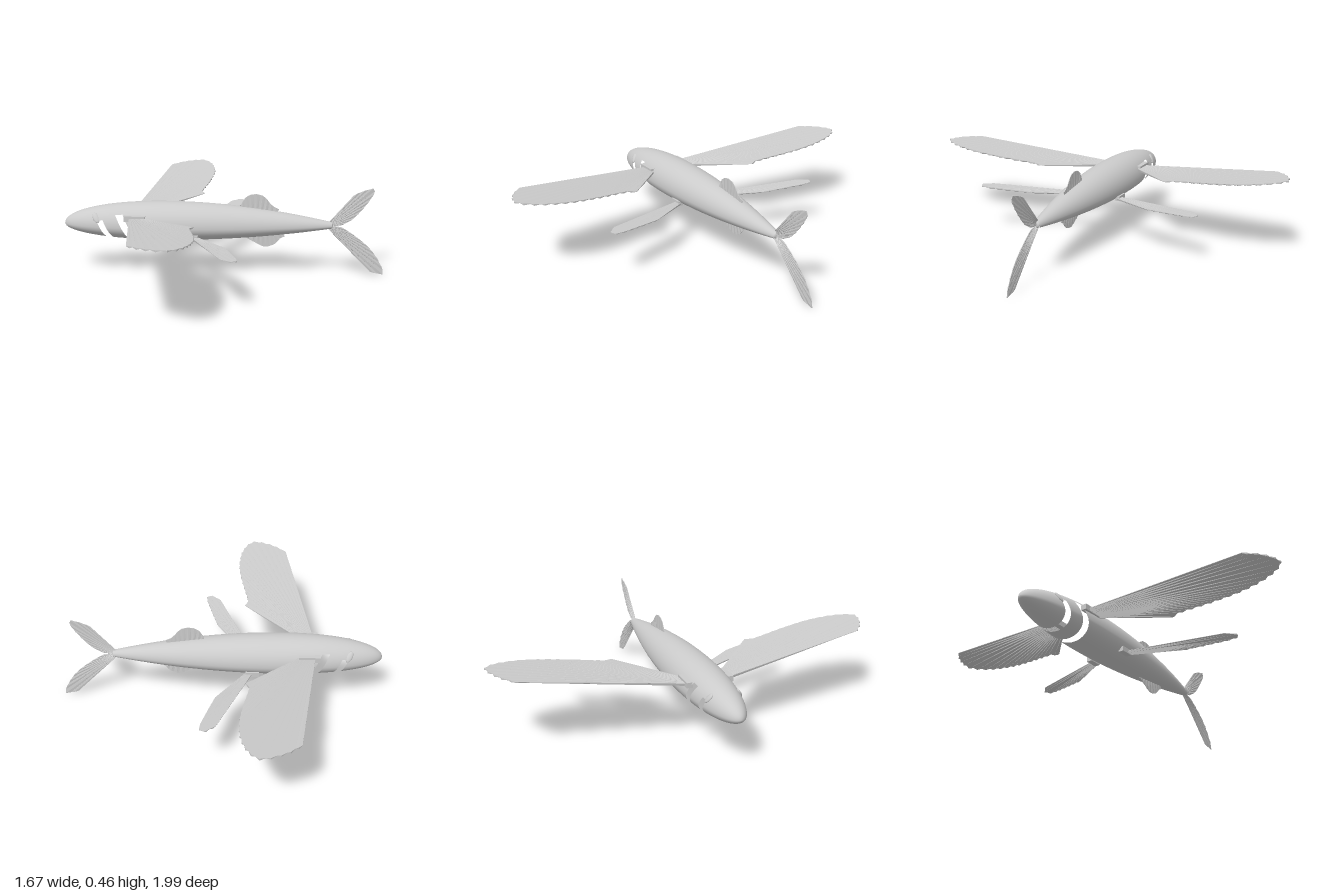
import * as THREE from 'three';

const BODY_Y = 0.26;
const smooth = new THREE.MeshStandardMaterial({ color: 0xcccccc });
const finMaterial = new THREE.MeshStandardMaterial({ color: 0xcccccc, flatShading: true, side: THREE.DoubleSide });

// Half-width of the body along its length (nose at -x)
function bodyRadius(x) {
  if (x < -0.3) return 0.12 * Math.sqrt(Math.max(0, 1 - Math.pow((-0.3 - x) / 0.54, 2.2)));
  return 0.12 - 0.1 * Math.pow((x + 0.3) / 0.86, 1.9);
}

// Body skin with slanted gill slots open across the belly
function bodyGeometry() {
  const sides = 48;
  const columns = [];
  const slots = [];
  const span = (from, to, n, slotTop, ease = t => t) => {
    for (let i = 0; i < n; i++) {
      columns.push(from + (to - from) * ease(i / n));
      slots.push(slotTop);
    }
  };
  span(-0.84, -0.64, 18, null, t => t * t);
  span(-0.64, -0.605, 2, 0.4);
  span(-0.605, -0.525, 4, null);
  span(-0.525, -0.485, 2, 0.62);
  span(-0.485, 0.56, 44, null);
  columns.push(0.56);

  const position = [], full = [], kept = [];
  for (const u of columns) {
    const shear = 0.5 * THREE.MathUtils.smoothstep(u, -0.84, -0.68)
      * (1 - THREE.MathUtils.smoothstep(u, -0.45, -0.22));
    for (let j = 0; j < sides; j++) {
      const a = j / sides * Math.PI * 2;
      const s = Math.sin(a) * (Math.sin(a) > 0 ? 1 : 0.67);
      const x = u - shear * bodyRadius(u) * s;
      const r = bodyRadius(x);
      position.push(x, BODY_Y + r * s, r * Math.cos(a));
    }
  }
  for (let i = 0; i < columns.length - 1; i++) {
    for (let j = 0; j < sides; j++) {
      const k = (j + 1) % sides;
      const a = i * sides + j, b = i * sides + k, c = a + sides, d = b + sides;
      const quad = [a, c, d, a, d, b];
      full.push(...quad);
      const height = Math.sin((j + 0.5) / sides * Math.PI * 2);
      if (slots[i] === null || height > slots[i]) kept.push(...quad);
    }
  }
  const g = new THREE.BufferGeometry();
  g.setAttribute('position', new THREE.Float32BufferAttribute(position, 3));
  g.setIndex(full);
  g.computeVertexNormals();
  g.setIndex(kept);
  return g;
}

// Ribbed fan between a root line and a tip line; place() maps (a, b, thickness) to space
function finGeometry(root, tip, rays, top, bottom, place) {
  const toCurve = pts => new THREE.SplineCurve(pts.map(p => new THREE.Vector2(...p)));
  const rootCurve = toCurve(root), tipCurve = toCurve(tip);
  const position = [], index = [];
  for (let i = 0; i <= rays; i++) {
    const r = rootCurve.getPointAt(i / rays);
    const t = tipCurve.getPointAt(i / rays);
    const rib = i % 2 ? 1 : 0.25;
    if (i % 2 === 0 && i > 0 && i < rays) t.lerp(r, 0.01);
    position.push(
      ...place(r.x, r.y, top * rib), ...place(t.x, t.y, top * rib * 0.6),
      ...place(t.x, t.y, -bottom * rib * 0.6), ...place(r.x, r.y, -bottom * rib));
    if (i === rays) continue;
    for (let k = 0; k < 4; k++) {
      const a = i * 4 + k, b = i * 4 + (k + 1) % 4;
      index.push(a, a + 4, b + 4, a, b + 4, b);
    }
  }
  const e = rays * 4;
  index.push(0, 1, 2, 0, 2, 3, e, e + 2, e + 1, e, e + 3, e + 2);
  const g = new THREE.BufferGeometry();
  g.setAttribute('position', new THREE.Float32BufferAttribute(position, 3));
  g.setIndex(index);
  g.computeVertexNormals();
  return g;
}

export function createModel() {
  const model = new THREE.Group();
  model.name = 'flyingFish';
  const add = (name, geometry, material, parent = model) => {
    const mesh = new THREE.Mesh(geometry, material);
    mesh.name = name;
    parent.add(mesh);
    return mesh;
  };

  add('body', bodyGeometry(), smooth);
  const stump = add('tailStump', new THREE.SphereGeometry(0.0185, 20, 12), smooth);
  stump.scale.set(0.4, 0.85, 1);
  stump.position.set(0.558, BODY_Y + 0.003, 0);

  // Upright fins on the centre line
  const upright = (a, b, c) => [a, b, c];
  const uprightFin = (name, root, tip, rays) =>
    add(name, finGeometry(root, tip, rays, 0.004, 0.004, upright), finMaterial);
  uprightFin('dorsalFin', [[0.085, 0.35], [0.27, 0.31]],
    [[0.085, 0.362], [0.11, 0.405], [0.145, 0.423], [0.18, 0.423], [0.21, 0.41], [0.25, 0.365], [0.285, 0.346]], 16);
  uprightFin('analFin', [[0.3, 0.22], [0.12, 0.2]],
    [[0.318, 0.2], [0.293, 0.188], [0.266, 0.158], [0.22, 0.143], [0.19, 0.15], [0.167, 0.162], [0.11, 0.193]], 16);
  uprightFin('upperTailLobe', [[0.54, 0.275], [0.56, 0.258]],
    [[0.667, 0.423], [0.71, 0.445], [0.775, 0.46], [0.752, 0.4], [0.675, 0.305], [0.61, 0.264]], 18);
  uprightFin('lowerTailLobe', [[0.56, 0.262], [0.54, 0.245]],
    [[0.61, 0.254], [0.67, 0.216], [0.752, 0.15], [0.806, 0.08], [0.838, 0.002], [0.766, 0.014]], 18);

  // Paired parts, mirrored across the centre line
  for (const side of [1, -1]) {
    const half = new THREE.Group();
    half.name = side > 0 ? 'nearSide' : 'farSide';
    half.scale.z = side;
    model.add(half);

    const wing = finGeometry([[-0.4, 0.1], [-0.485, 0.1]],
      [[-0.127, 0.365], [-0.143, 0.4], [-0.138, 0.45], [-0.11, 0.6], [-0.095, 0.75], [-0.11, 0.88],
        [-0.15, 0.97], [-0.2, 0.997], [-0.3, 0.955], [-0.37, 0.89]],
      36, 0.001, 0.014, (a, b, c) => [a, 0.313 + 0.112 * (b - 0.11) + c, b]);
    add('pectoralWing', wing, finMaterial, half);

    const pelvic = finGeometry([[-0.135, 0.09], [-0.17, 0.09]],
      [[0.02, 0.33], [0.055, 0.45], [0.09, 0.59], [0.07, 0.624], [0.04, 0.605], [0.01, 0.575]],
      18, 0.001, 0.01, (a, b, c) => [a, 0.215 + 0.07 * (b - 0.11) + c, b]);
    add('pelvicFin', pelvic, finMaterial, half);

    // Fin mounts
    add('wingMount', new THREE.BoxGeometry(0.11, 0.028, 0.03), finMaterial, half)
      .position.set(-0.455, 0.312, 0.105);
    add('pelvicMount', new THREE.BoxGeometry(0.07, 0.026, 0.03), finMaterial, half)
      .position.set(-0.165, 0.213, 0.1);

    const eye = add('eye', new THREE.SphereGeometry(1, 20, 14), smooth, half);
    eye.scale.set(0.016, 0.03, 0.008);
    eye.position.set(-0.66, 0.306, 0.077);
    eye.rotation.set(-0.55, 0, 0.45);
  }
  return model;
}
